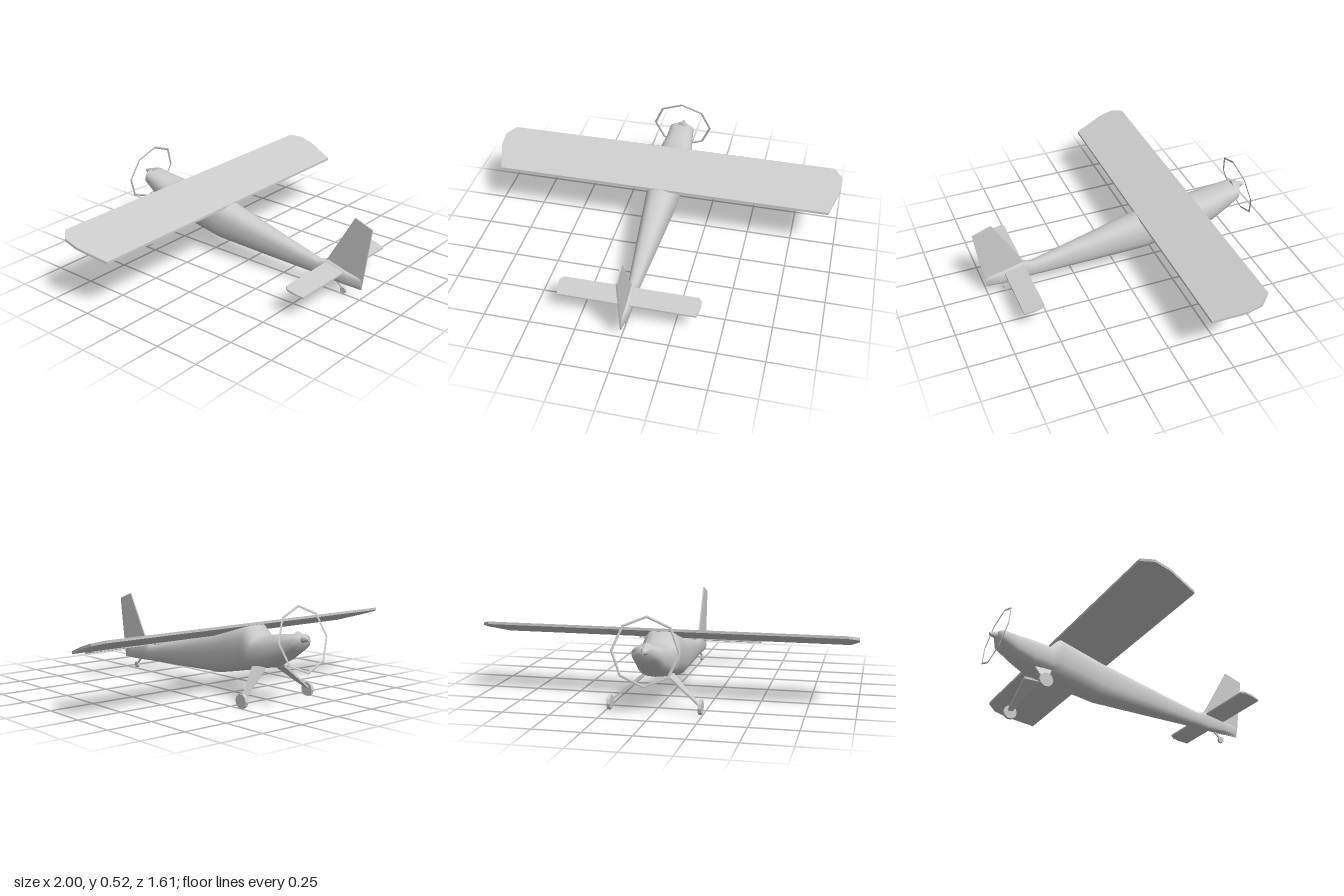
import * as THREE from 'three';

const smooth = new THREE.MeshStandardMaterial({ color: 0xcccccc });
const flat = new THREE.MeshStandardMaterial({ color: 0xcccccc, flatShading: true, side: THREE.DoubleSide });

function add(parent, name, geometry, material = flat) {
  const mesh = new THREE.Mesh(geometry, material);
  mesh.name = name;
  parent.add(mesh);
  return mesh;
}

// Loft of rounded sections, each [z, top, bottom, halfWidth], closed at both ends
function loft(sections, sides = 20, power = 0.8) {
  const pos = [], index = [];
  const soft = (v) => Math.sign(v) * Math.abs(v) ** power;
  for (const [z, top, bottom, half] of sections) {
    for (let j = 0; j < sides; j++) {
      const a = (j / sides) * Math.PI * 2;
      pos.push(half * soft(Math.cos(a)), (top + bottom) / 2 + ((top - bottom) / 2) * soft(Math.sin(a)), z);
    }
  }
  const n = sections.length;
  for (let i = 0; i < n - 1; i++) {
    for (let j = 0; j < sides; j++) {
      const k = (j + 1) % sides;
      const a = i * sides + j, b = i * sides + k, c = a + sides, d = b + sides;
      index.push(a, b, c, b, d, c);
    }
  }
  const last = (n - 1) * sides;
  for (let j = 1; j < sides - 1; j++) {
    index.push(0, j + 1, j, last, last + j, last + j + 1);
  }
  const g = new THREE.BufferGeometry();
  g.setAttribute('position', new THREE.Float32BufferAttribute(pos, 3));
  g.setIndex(index);
  g.computeVertexNormals();
  return g;
}

function plate(points, depth) {
  const shape = new THREE.Shape(points.map(([x, y]) => new THREE.Vector2(x, y)));
  return new THREE.ExtrudeGeometry(shape, { depth, bevelEnabled: false });
}

// Symmetric horizontal plate from its +x outline [x, z], sloping down towards the back
function horizontalSurface(half, depth, frontY, frontZ, slope) {
  const outline = [...half, ...half.slice().reverse().map(([x, z]) => [-x, z])];
  const g = plate(outline.map(([x, z]) => [x, -z]), depth).rotateX(-Math.PI / 2);
  const p = g.attributes.position;
  for (let i = 0; i < p.count; i++) p.setY(i, p.getY(i) + frontY - (p.getZ(i) - frontZ) * slope);
  g.computeVertexNormals();
  return g;
}

// Tapered box between a root and a tip section, each { x, y, z, chord, thick }
function strut(root, tip, side) {
  const g = new THREE.BoxGeometry(1, 1, 1);
  const p = g.attributes.position;
  for (let i = 0; i < p.count; i++) {
    const s = p.getX(i) * side > 0 ? tip : root;
    p.setXYZ(i, side * s.x, s.y + p.getY(i) * s.thick, s.z + p.getZ(i) * s.chord);
  }
  g.computeVertexNormals();
  return g;
}

function wheel(radius, width) {
  return new THREE.CylinderGeometry(radius, radius, width, 10).rotateZ(Math.PI / 2);
}

export function createModel() {
  const plane = new THREE.Group();
  plane.name = 'airplane';

  // Body, from the cowling in front (-z) to the tail
  add(plane, 'fuselage', loft([
    [-0.76, 0.375, 0.335, 0.035],
    [-0.74, 0.38, 0.295, 0.073],
    [-0.66, 0.372, 0.235, 0.08],
    [-0.57, 0.359, 0.187, 0.098],
    [-0.47, 0.342, 0.168, 0.103],
    [-0.415, 0.403, 0.155, 0.103],
    [-0.3, 0.365, 0.13, 0.1],
    [-0.165, 0.325, 0.103, 0.09],
    [0.15, 0.247, 0.09, 0.062],
    [0.485, 0.168, 0.078, 0.03],
    [0.545, 0.182, 0.073, 0.025],
    [0.66, 0.15, 0.07, 0.027],
    [0.757, 0.13, 0.07, 0.004],
  ]), smooth);

  // Wing and tail surfaces
  add(plane, 'wing', horizontalSurface(
    [[0.95, -0.43], [1, -0.375], [1, -0.295], [0.95, -0.13]], 0.014, 0.394, -0.43, 0.3));
  add(plane, 'tailplane', horizontalSurface(
    [[0.365, 0.54], [0.382, 0.56], [0.382, 0.6], [0.37, 0.652]], 0.01, 0.16, 0.54, 0.22));
  const finWidth = 0.008;
  add(plane, 'fin', plate([
    [0.485, 0.16], [0.54, 0.185], [0.7, 0.465], [0.805, 0.427],
    [0.765, 0.13], [0.755, 0.068], [0.64, 0.07], [0.5, 0.1],
  ], finWidth).rotateY(-Math.PI / 2).translate(finWidth / 2, 0, 0));

  // Propeller hub and thin eight-sided ring
  add(plane, 'spinner', new THREE.CylinderGeometry(0.008, 0.034, 0.08, 10)
    .rotateX(-Math.PI / 2).translate(0, 0.358, -0.76), smooth);
  add(plane, 'propellerRing', new THREE.TorusGeometry(0.169, 0.007, 4, 8)
    .scale(1, 1, 0.35).rotateX(0.227).translate(0, 0.355, -0.76));

  // Main landing gear
  for (const side of [1, -1]) {
    const gear = new THREE.Group();
    gear.name = side > 0 ? 'leftLandingGear' : 'rightLandingGear';
    add(gear, 'gearLeg', strut(
      { x: 0.07, y: 0.187, z: -0.515, chord: 0.095, thick: 0.014 },
      { x: 0.23, y: 0.052, z: -0.572, chord: 0.026, thick: 0.012 }, side));
    add(gear, 'mainWheel', wheel(0.038, 0.018).translate(side * 0.236, 0.043, -0.57));
    plane.add(gear);
  }

  // Tail wheel and its sloping spring
  const tailGear = new THREE.Group();
  tailGear.name = 'tailGear';
  const spring = add(tailGear, 'tailSpring', new THREE.BoxGeometry(0.008, 0.008, 0.06));
  spring.position.set(0, 0.053, 0.625);
  spring.rotation.x = 0.75;
  add(tailGear, 'tailWheel', wheel(0.018, 0.012).translate(0, 0.03, 0.645));
  plane.add(tailGear);

  return plane;
}
